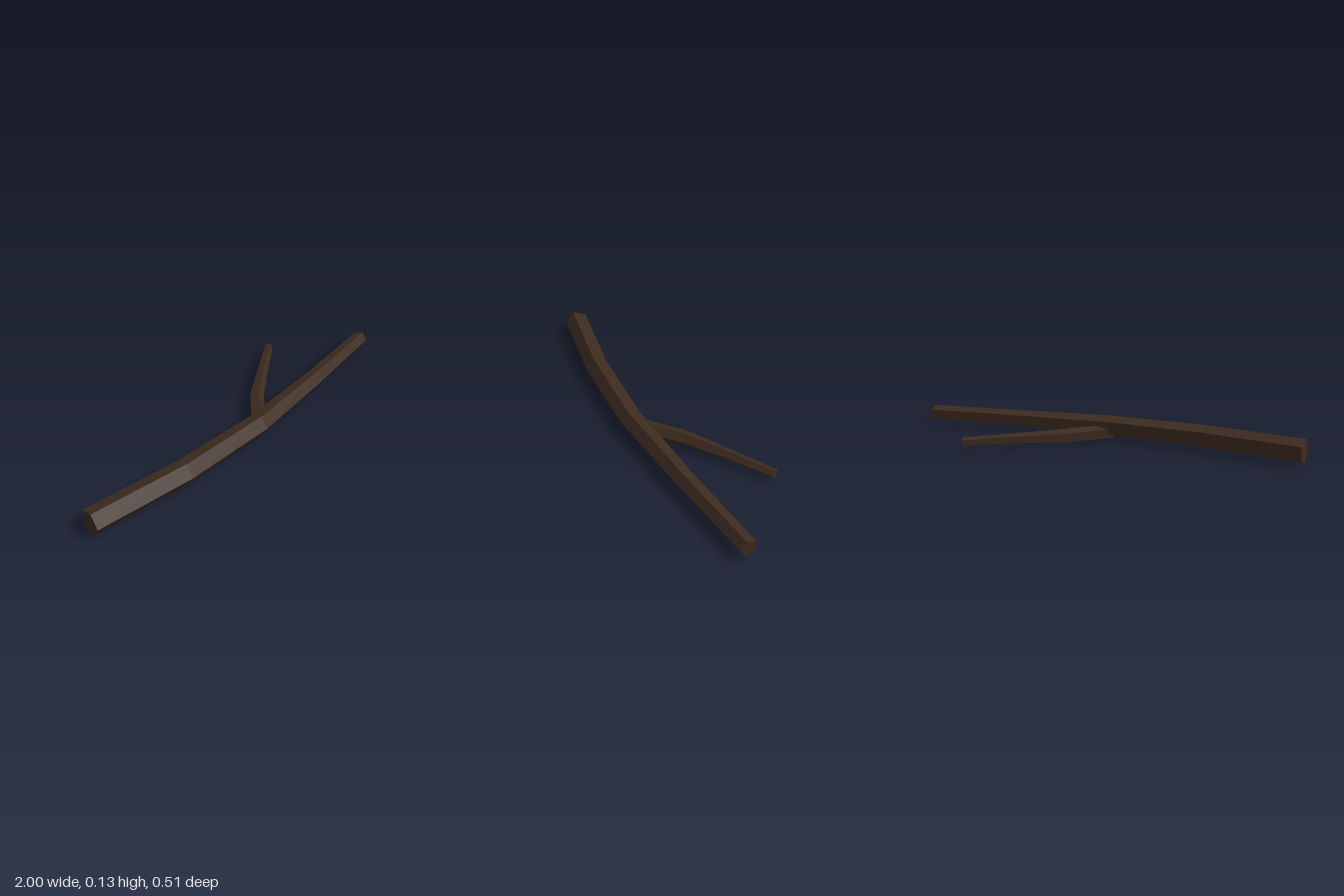
import * as THREE from 'three';

const SIDES = 5;

// Tapered five-sided limb swept along nodes of [x, y, z, radius], with flat end caps
function limb(name, nodes, material) {
  const rings = nodes.map(([x, y, z, r], i) => {
    const a = nodes[Math.max(i - 1, 0)];
    const b = nodes[Math.min(i + 1, nodes.length - 1)];
    const dir = new THREE.Vector2(b[0] - a[0], b[2] - a[2]).normalize();
    // The ridge of each section points sideways, towards the front
    return Array.from({ length: SIDES }, (_, k) => {
      const t = (k / SIDES) * Math.PI * 2;
      const out = Math.cos(t) * r;
      return [x - dir.y * out, y + Math.sin(t) * r, z + dir.x * out];
    });
  });

  const pos = [];
  const tri = (a, b, c) => pos.push(...a, ...b, ...c);

  // Bark faces
  for (let i = 0; i < rings.length - 1; i++) {
    for (let k = 0; k < SIDES; k++) {
      const n = (k + 1) % SIDES;
      const a = rings[i][k], b = rings[i + 1][k], c = rings[i + 1][n], d = rings[i][n];
      tri(a, b, c);
      tri(a, c, d);
    }
  }

  // Cut ends
  const first = rings[0], last = rings[rings.length - 1];
  for (let k = 1; k < SIDES - 1; k++) {
    tri(first[0], first[k], first[k + 1]);
    tri(last[0], last[k + 1], last[k]);
  }

  const geometry = new THREE.BufferGeometry();
  geometry.setAttribute('position', new THREE.Float32BufferAttribute(pos, 3));
  geometry.computeVertexNormals();
  const mesh = new THREE.Mesh(geometry, material);
  mesh.name = name;
  return mesh;
}

export function createModel() {
  const group = new THREE.Group();
  group.name = 'fallenBranch';

  const bark = new THREE.MeshStandardMaterial({ color: 0x3d2b1f, flatShading: true });
  bark.name = 'dark bark';

  // Long curved main branch, thick end at -x
  group.add(limb('mainBranch', [
    [-0.99, 0.067, 0.11, 0.062],
    [-0.495, 0.067, 0.18, 0.06],
    [0, 0.067, 0.2, 0.055],
    [0.5, 0.067, 0.162, 0.046],
    [0.995, 0.067, 0.11, 0.04],
  ], bark));

  // Thin side shoot forking to the back
  group.add(limb('sideBranch', [
    [0, 0.038, 0.2, 0.039],
    [0.205, 0.038, 0.018, 0.038],
    [0.405, 0.041, -0.108, 0.0285],
    [0.623, 0.038, -0.241, 0.0225],
  ], bark));

  return group;
}
